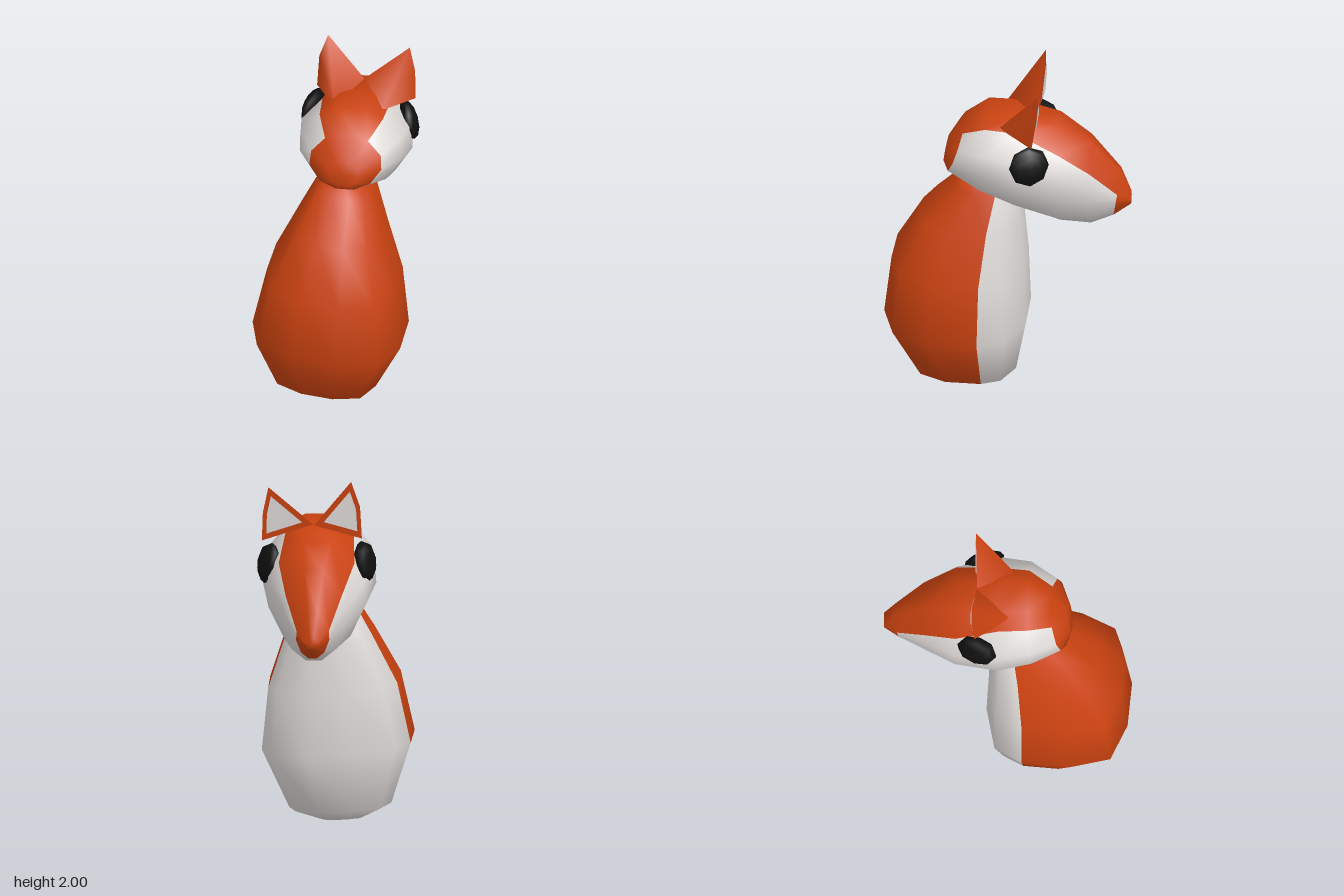
import * as THREE from 'three';

const material = (name, color, side = THREE.FrontSide) => {
  const m = new THREE.MeshStandardMaterial({ color, side });
  m.name = name;
  return m;
};

// Smooth skin over a list of rings, closed at both ends; colourOf(ring, segment) picks the material index
function loft(rings, colourOf) {
  const n = rings[0].length, last = rings.length - 1;
  const points = rings.flat();
  const faces = [[], []];
  for (let j = 0; j < last; j++) {
    for (let i = 0; i < n; i++) {
      const k = (i + 1) % n;
      const a = j * n + i, b = j * n + k, c = b + n, d = a + n;
      faces[colourOf(j, i)].push(a, d, c, a, c, b);
    }
  }
  const addCap = (j, flip) => {
    const centre = new THREE.Vector3();
    rings[j].forEach((p) => centre.addScaledVector(p, 1 / n));
    const c = points.push(centre) - 1;
    for (let i = 0; i < n; i++) {
      const a = j * n + i, b = j * n + (i + 1) % n;
      faces[0].push(c, ...(flip ? [b, a] : [a, b]));
    }
  };
  addCap(0, false);
  addCap(last, true);
  const geo = new THREE.BufferGeometry().setFromPoints(points);
  geo.setIndex(faces.flat());
  geo.addGroup(0, faces[0].length, 0);
  geo.addGroup(faces[0].length, faces[1].length, 1);
  geo.computeVertexNormals();
  return geo;
}

// Flat or folded surface from triangles given as point triples
function triangles(points, index) {
  const geo = new THREE.BufferGeometry().setFromPoints(points);
  geo.setIndex(index);
  geo.computeVertexNormals();
  return geo;
}

export function createModel() {
  const orange = material('orange fur', 0xca4210);
  const white = material('white fur', 0xdedad8);
  const black = material('black eye', 0x101010);
  const orangeEar = material('orange ear', 0xca4210, THREE.DoubleSide);
  const whiteEar = material('white inner ear', 0xdedad8, THREE.DoubleSide);

  const model = new THREE.Group();
  model.name = 'fox';
  const add = (name, geo, mat, parent = model) => {
    const mesh = new THREE.Mesh(geo, mat);
    mesh.name = name;
    parent.add(mesh);
    return mesh;
  };

  // Body: one rounded outline scaled up the height, leaning slightly
  const outline = [
    [0.98, -0.33], [0.95, 0.36], [0.71, 0.85], [0.2, 1], [-0.4, 0.95], [-0.88, 0.72],
    [-1, 0.18], [-0.95, -0.5], [-0.75, -0.88], [-0.2, -1], [0.4, -0.97], [0.85, -0.7],
  ];
  const bodyRings = [ // y, centre x, half width, centre z, half depth
    [0.012, -0.035, 0.12, 0.265, 0.085],
    [0.115, -0.025, 0.285, 0.23, 0.28],
    [0.44, -0.005, 0.415, 0.28, 0.39],
    [0.78, 0.015, 0.36, 0.265, 0.365],
    [1.06, 0.04, 0.245, 0.2, 0.28],
    [1.26, 0.06, 0.16, 0.12, 0.17],
    [1.32, 0.06, 0.1, 0.15, 0.1],
  ].map(([y, cx, w, cz, d]) => outline.map(([u, v]) =>
    new THREE.Vector3(cx + u * w, y - 0.07 * u * w, cz + v * d)));
  add('body', loft(bodyRings, (j, i) => (i < 7 ? 0 : 1)), [orange, white]);

  // Head: rings from the back of the skull to the nose, with an orange stripe on top
  const head = new THREE.Group();
  head.name = 'head';
  model.add(head);
  const headRings = [ // z, slant, centre x, half width, centre y, half height, stripe edge
    [0.335, -0.015, 0.07, 0.08, 1.46, 0.07, 0.8],
    [0.28, -0.05, 0.075, 0.195, 1.505, 0.145, 0.8],
    [0.13, -0.02, 0.085, 0.275, 1.5, 0.24, 0.78],
    [-0.05, 0, 0.09, 0.305, 1.457, 0.277, 0.8],
    [-0.28, 0, 0.105, 0.26, 1.388, 0.297, 0.62],
    [-0.45, 0, 0.12, 0.17, 1.325, 0.25, 0.45],
    [-0.59, -0.02, 0.125, 0.09, 1.255, 0.135, 0.2],
    [-0.665, 0, 0.13, 0.04, 1.225, 0.035, 0.2],
  ].map(([z, slant, cx, w, cy, h, edge]) => {
    const half = [
      [0.3, 1], [Math.sqrt(1 - edge * edge), edge], [0.97, (edge - 0.2) / 2],
      [1, -0.2], [0.7, -0.75], [0.25, -1],
    ];
    const left = half.slice().reverse();
    const right = half.map(([u, v]) => [-u, v]);
    return [...left, ...right].map(([u, v]) =>
      new THREE.Vector3(cx + u * w, cy + v * h, z + slant * v));
  });
  const headColour = (j, i) => (j === 0 || j === 6 || (i >= 4 && i <= 6) ? 0 : 1);
  add('skull', loft(headRings, headColour), [orange, white], head);

  // Ears: flat face towards the nose, folded back behind, thin white inset
  const ears = {
    leftEar: [[0.4, 1.66, -0.145], [0.395, 1.82, -0.165], [0.365, 1.965, -0.175],
      [0.125, 1.755, -0.165], [0.24, 1.69, 0.04]],
    rightEar: [[-0.138, 1.68, -0.175], [-0.128, 1.86, -0.19], [-0.08, 2, -0.19],
      [0.12, 1.75, -0.165], [-0.02, 1.69, 0.03]],
  };
  for (const [name, coords] of Object.entries(ears)) {
    const ear = new THREE.Group();
    ear.name = name;
    head.add(ear);
    const p = coords.map((c) => new THREE.Vector3(...c));
    const rim = p.slice(0, 4);
    const fold = [4, 0, 1, 4, 1, 2, 4, 2, 3];
    const plate = [0, 2, 1, 0, 3, 2];
    if (name === 'leftEar') fold.reverse();
    else plate.reverse();
    add('earBack', triangles(p, fold), orangeEar, ear);
    add('earFront', triangles(rim, plate), orangeEar, ear);
    add('earBase', triangles([p[0], p[3], p[4]], name === 'leftEar' ? [0, 2, 1] : [0, 1, 2]), orangeEar, ear);
    const centre = rim.reduce((s, q) => s.addScaledVector(q, 0.25), new THREE.Vector3());
    const inset = rim.map((q) => q.clone().lerp(centre, 0.3).add(new THREE.Vector3(0, 0, -0.008)));
    add('innerEar', triangles(inset, plate), whiteEar, ear);
  }

  // Eyes: flattened eight-sided domes set into the sides of the head
  const eyeShape = new THREE.SphereGeometry(1, 8, 6).rotateZ(Math.PI / 2).scale(0.05, 0.112, 0.112);
  for (const [name, s, x, y, z] of [['leftEye', 1, 0.365, 1.53, -0.13], ['rightEye', -1, -0.155, 1.55, -0.16]]) {
    const eye = add(name, eyeShape, black, head);
    eye.position.set(x, y, z);
    eye.rotation.set(0, s * 0.32, s * 0.2);
  }

  return model;
}
